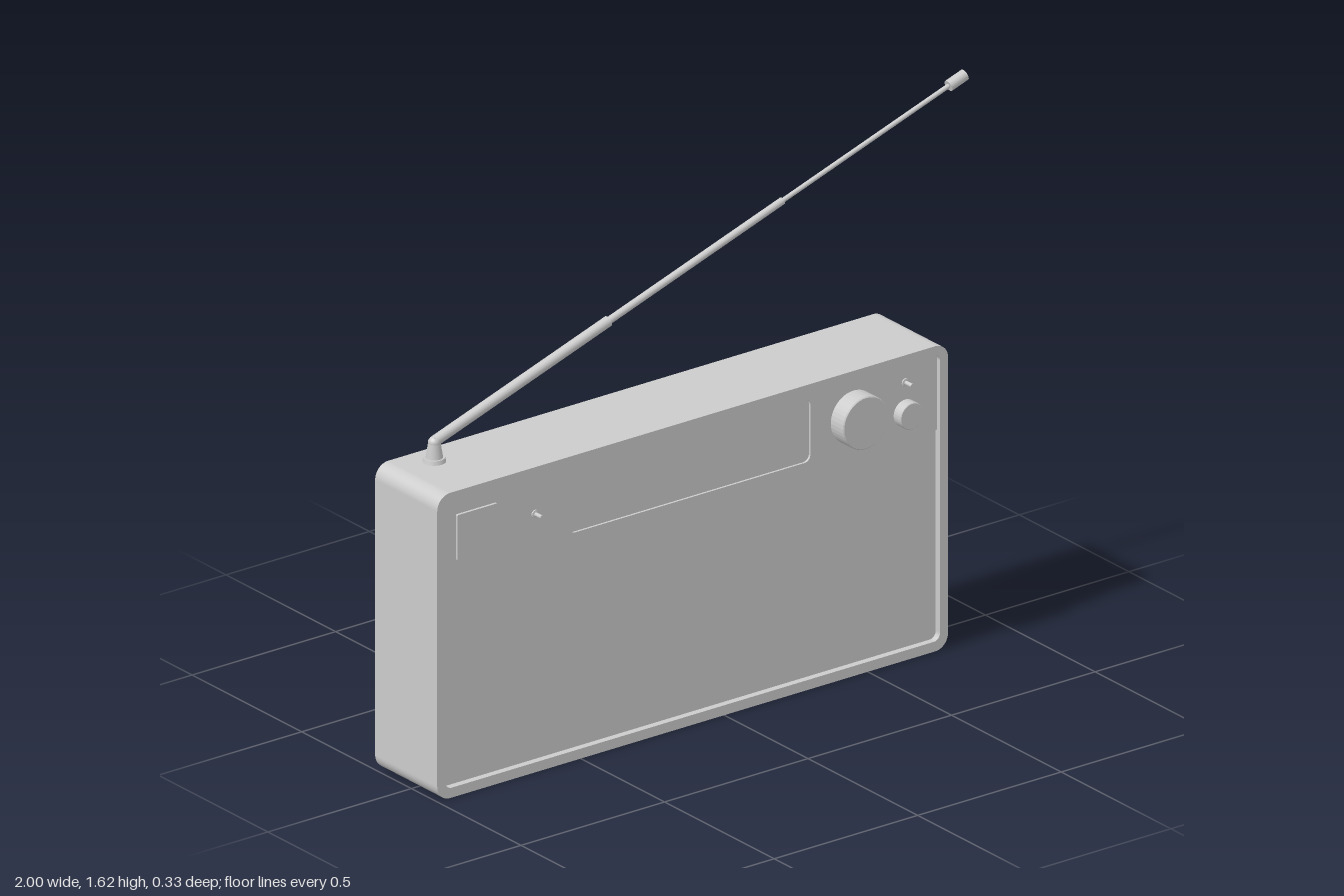
import * as THREE from 'three';

const MAT = new THREE.MeshStandardMaterial({ color: 0xcccccc });

function roundedRect(x0, y0, x1, y1, r, Type = THREE.Shape) {
  const s = new Type();
  s.moveTo(x0 + r, y0);
  s.lineTo(x1 - r, y0);
  s.absarc(x1 - r, y0 + r, r, -Math.PI / 2, 0);
  s.lineTo(x1, y1 - r);
  s.absarc(x1 - r, y1 - r, r, 0, Math.PI / 2);
  s.lineTo(x0 + r, y1);
  s.absarc(x0 + r, y1 - r, r, Math.PI / 2, Math.PI);
  s.lineTo(x0, y0 + r);
  s.absarc(x0 + r, y0 + r, r, Math.PI, Math.PI * 1.5);
  return s;
}

export function createModel() {
  const model = new THREE.Group();

  function add(name, geometry, parent = model) {
    const mesh = new THREE.Mesh(geometry, MAT);
    mesh.name = name;
    parent.add(mesh);
    return mesh;
  }

  // Plate between two z depths
  function plate(name, shape, z0, z1) {
    const geo = new THREE.ExtrudeGeometry(shape, { depth: z1 - z0, bevelEnabled: false, curveSegments: 8 });
    return add(name, geo.translate(0, 0, z0));
  }

  // Round part turned about z; profile is [radius, z] pairs
  function turned(name, x, y, profile, sides = 32) {
    const points = profile.map(([r, z]) => new THREE.Vector2(r, z));
    const geo = new THREE.LatheGeometry(points, sides).toNonIndexed();
    geo.computeVertexNormals();
    add(name, geo.rotateX(Math.PI / 2)).position.set(x, y, 0);
  }

  // Case: rounded sleeve with a rim around the front and back panels
  const sleeve = roundedRect(-1, 0, 0.78, 0.92, 0.045);
  sleeve.holes.push(roundedRect(-0.972, 0.03, 0.752, 0.893, 0.022, THREE.Path));
  plate('caseSleeve', sleeve, -0.165, 0.118);
  plate('backPanel', roundedRect(-0.975, 0.027, 0.755, 0.896, 0.022), -0.15, -0.12);
  plate('speakerPanel', roundedRect(-0.975, 0.027, 0.755, 0.896, 0.022), 0.05, 0.098);

  // Control strip with the sunken display window
  const strip = roundedRect(-0.973, 0.66, 0.753, 0.894, 0.002);
  strip.holes.push(roundedRect(-0.53, 0.68, 0.31, 0.87, 0.02, THREE.Path));
  plate('controlStrip', strip, 0.09, 0.105);

  // Square button
  plate('squareButton', roundedRect(-0.925, 0.705, -0.785, 0.843, 0.003), 0.1, 0.113);

  // Knobs
  turned('tuningKnob', 0.46, 0.775, [[0.079, 0.1], [0.079, 0.16], [0.076, 0.163], [0, 0.163]], 40);
  turned('volumeKnob', 0.64, 0.74, [[0.04, 0.1], [0.04, 0.136], [0.038, 0.138], [0, 0.138]]);

  // Small pin switches
  for (const [name, x, y] of [['leftPin', -0.65, 0.773], ['rightPin', 0.64, 0.832]]) {
    turned(name, x, y, [[0.012, 0.1], [0.012, 0.109], [0.006, 0.11], [0.006, 0.138], [0, 0.138]], 12);
  }

  // Telescopic antenna
  const antenna = new THREE.Group();
  antenna.name = 'antenna';
  antenna.position.set(-0.855, 0.92, -0.085);
  model.add(antenna);

  add('antennaBase', new THREE.CylinderGeometry(0.03, 0.033, 0.012, 24), antenna).position.y = 0.006;
  add('antennaPost', new THREE.CylinderGeometry(0.017, 0.025, 0.05, 20), antenna).position.y = 0.034;
  add('antennaJoint', new THREE.SphereGeometry(0.018, 16, 12), antenna).position.y = 0.057;

  const rod = new THREE.Group();
  rod.name = 'antennaRod';
  rod.position.y = 0.06;
  rod.rotation.z = Math.atan2(0.622, 1.849) - Math.PI / 2;
  antenna.add(rod);

  const sections = [
    ['lowerTube', 0.016, 0, 0.64],
    ['middleTube', 0.011, 0.63, 1.28],
    ['upperTube', 0.007, 1.27, 1.9],
    ['antennaTip', 0.017, 1.89, 1.95],
  ];
  for (const [name, r, from, to] of sections) {
    add(name, new THREE.CylinderGeometry(r, r, to - from, 12), rod).position.y = (from + to) / 2;
  }
  return model;
}
